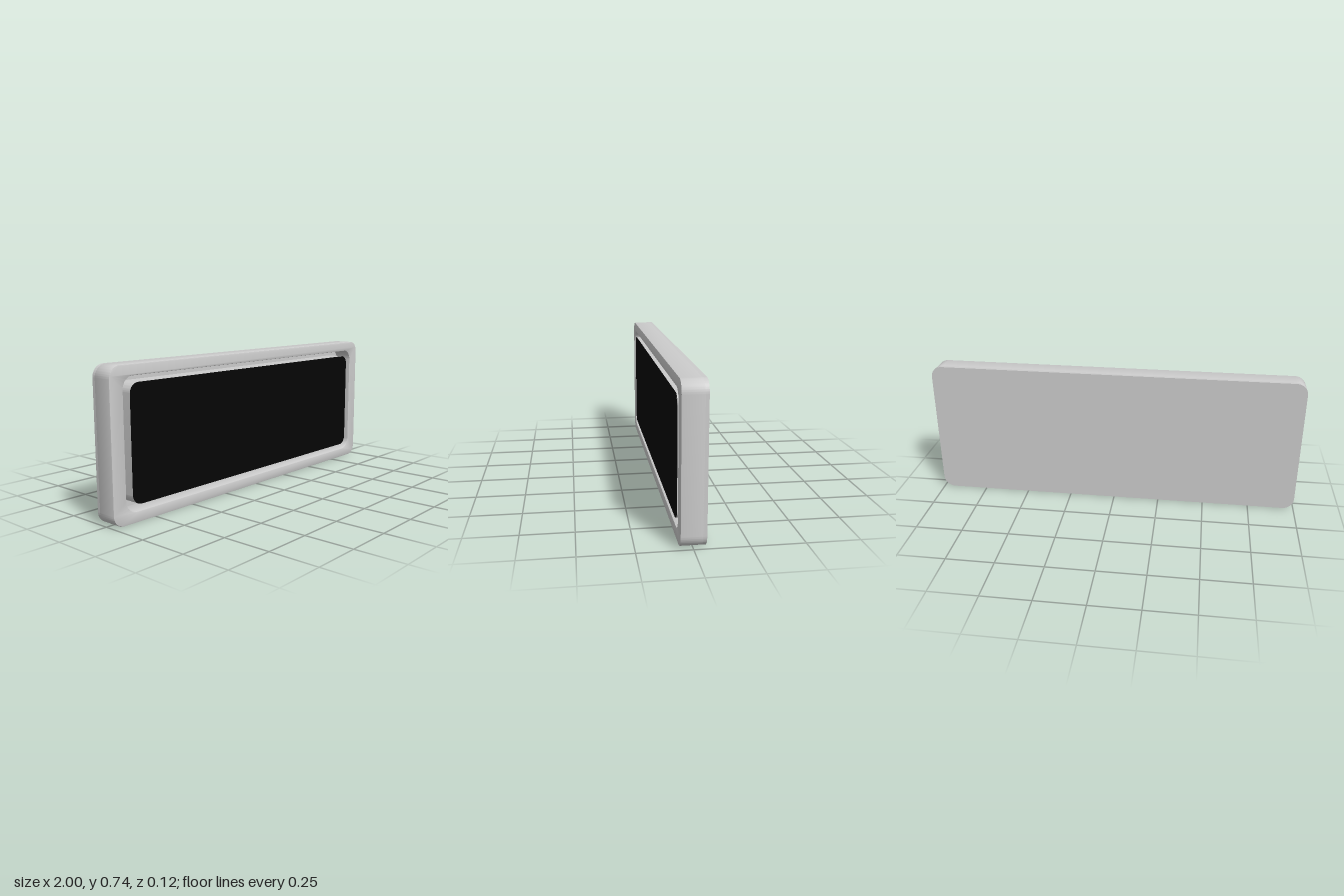
import * as THREE from 'three';
import { toCreasedNormals } from 'three/addons/utils/BufferGeometryUtils.js';

const CENTRE_Y = 0.37;
const HALF_DEPTH = 0.058;

// Rounded rectangle centred on the origin, as a Shape or as a hole Path
function roundedRect(w, h, r, Type = THREE.Shape) {
  const x = w / 2 - r, y = h / 2 - r;
  const p = new Type();
  p.absarc(x, y, r, 0, Math.PI / 2);
  p.absarc(-x, y, r, Math.PI / 2, Math.PI);
  p.absarc(-x, -y, r, Math.PI, Math.PI * 1.5);
  p.absarc(x, -y, r, Math.PI * 1.5, Math.PI * 2);
  p.closePath();
  return p;
}

// Slab between two z planes, with an optional small edge bevel
function slab(name, shape, z0, z1, bevel, color = 0xcccccc) {
  const geometry = new THREE.ExtrudeGeometry(shape, {
    depth: z1 - z0 - 2 * bevel,
    bevelEnabled: bevel > 0,
    bevelThickness: bevel,
    bevelSize: bevel,
    bevelOffset: -bevel,
    bevelSegments: 2,
    curveSegments: 10,
  });
  geometry.translate(0, CENTRE_Y, z0 + bevel);
  const mesh = new THREE.Mesh(
    toCreasedNormals(geometry, Math.PI / 5),
    new THREE.MeshStandardMaterial({ color })
  );
  mesh.name = name;
  return mesh;
}

export function createModel() {
  const group = new THREE.Group();
  group.name = 'framedPanel';

  // Solid back, which is also the floor of the groove
  group.add(slab('backPlate', roundedRect(2, 0.74, 0.06), -HALF_DEPTH, -0.04, 0));

  // Surrounding frame, its rear edge sunk into the back plate
  const frame = roundedRect(2, 0.74, 0.06);
  frame.holes.push(roundedRect(1.85, 0.634, 0.06, THREE.Path));
  group.add(slab('frame', frame, -0.046, HALF_DEPTH, 0.004));

  // Raised block inside the groove, with a thin black face
  group.add(slab('panelBlock', roundedRect(1.77, 0.57, 0.05), -0.045, 0.055, 0));
  group.add(slab('screen', roundedRect(1.77, 0.57, 0.05), 0.055, 0.0575, 0, 0x050505));

  return group;
}
